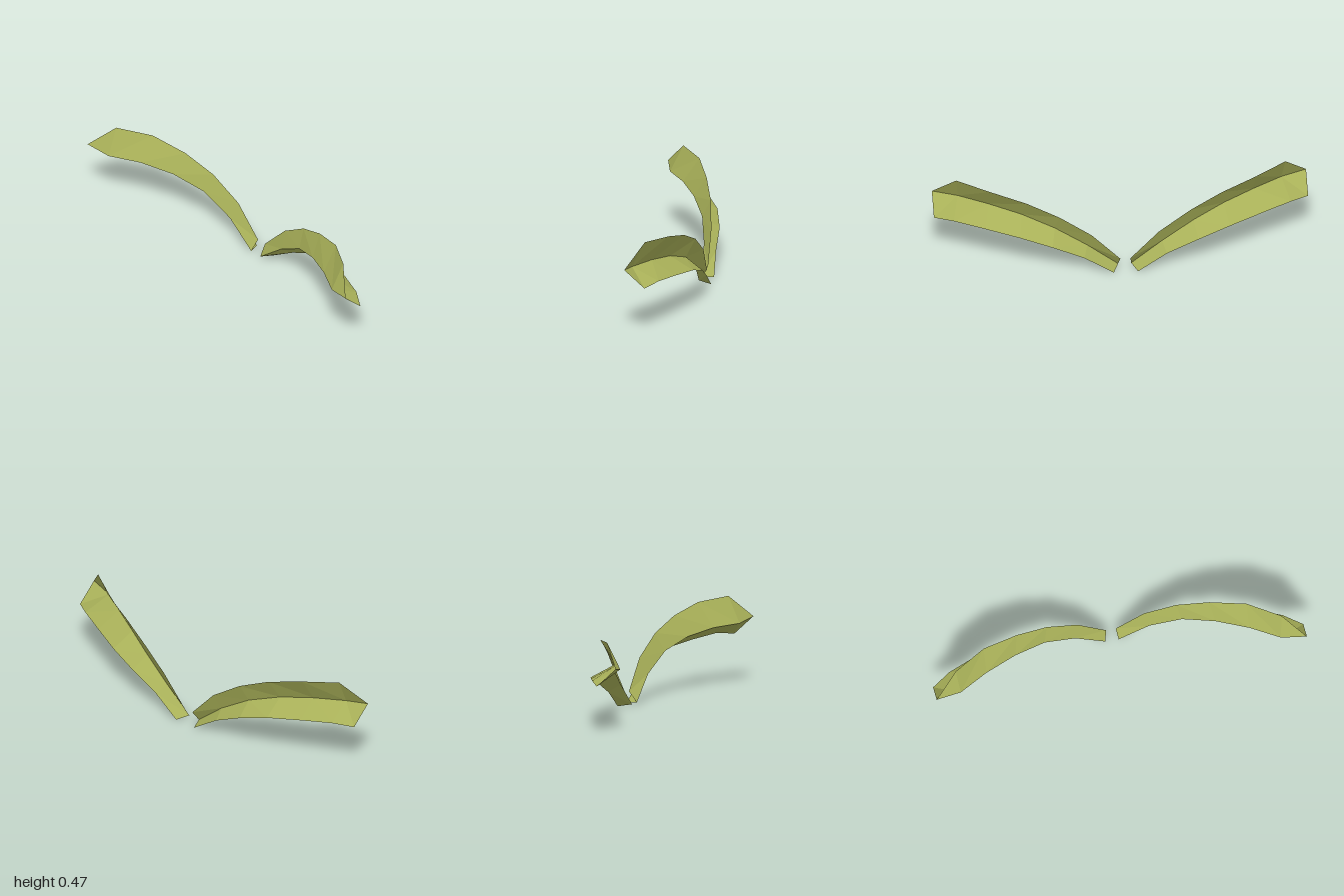
import * as THREE from 'three';

// Cross-sections from the inner end to the outer tip: [top edge, crease, rear edge]
const SECTIONS = [
  [[0.027, 0.07, -0.15], [0.035, 0.012, -0.108], [0.065, 0.002, -0.178]],
  [[0.18, 0.23, -0.15], [0.2, 0.143, -0.108], [0.22, 0.1, -0.17]],
  [[0.35, 0.34, -0.127], [0.37, 0.243, -0.078], [0.39, 0.178, -0.17]],
  [[0.52, 0.412, -0.085], [0.54, 0.3, -0.014], [0.56, 0.23, -0.138]],
  [[0.71, 0.46, -0.024], [0.71, 0.327, 0.065], [0.74, 0.253, -0.065]],
  [[0.88, 0.475, 0.082], [0.865, 0.333, 0.152], [0.9, 0.268, 0.005]],
  [[1, 0.354, 0.178], [1, 0.354, 0.178], [1, 0.255, 0.07]],
];

// Skin one strip of the folded sheet between two neighbouring edges
function strip(edge, side) {
  const p = [];
  const point = (i, j) => {
    const [x, y, z] = SECTIONS[i][j];
    return [x * side, y, z];
  };
  const tri = (a, b, c) => p.push(...a, ...(side > 0 ? [...b, ...c] : [...c, ...b]));
  for (let i = 0; i < SECTIONS.length - 1; i++) {
    const a = point(i, edge), b = point(i, edge + 1);
    const c = point(i + 1, edge + 1), d = point(i + 1, edge);
    tri(a, b, c);
    // The upper strip closes to a point at the tip
    if (edge === 1 || i < SECTIONS.length - 2) tri(a, c, d);
  }
  const g = new THREE.BufferGeometry();
  g.setAttribute('position', new THREE.Float32BufferAttribute(p, 3));
  g.computeVertexNormals();
  return g;
}

export function createModel() {
  const model = new THREE.Group();
  const olive = new THREE.MeshStandardMaterial({
    color: 0xa8b058, flatShading: true, side: THREE.DoubleSide,
  });
  olive.name = 'olive';

  // Mirrored pair of arched, folded blades
  for (const [name, side] of [['left', 1], ['right', -1]]) {
    const blade = new THREE.Group();
    blade.name = name + 'Blade';
    ['upperFace', 'lowerFace'].forEach((part, edge) => {
      const mesh = new THREE.Mesh(strip(edge, side), olive);
      mesh.name = part;
      blade.add(mesh);
    });
    model.add(blade);
  }
  return model;
}
